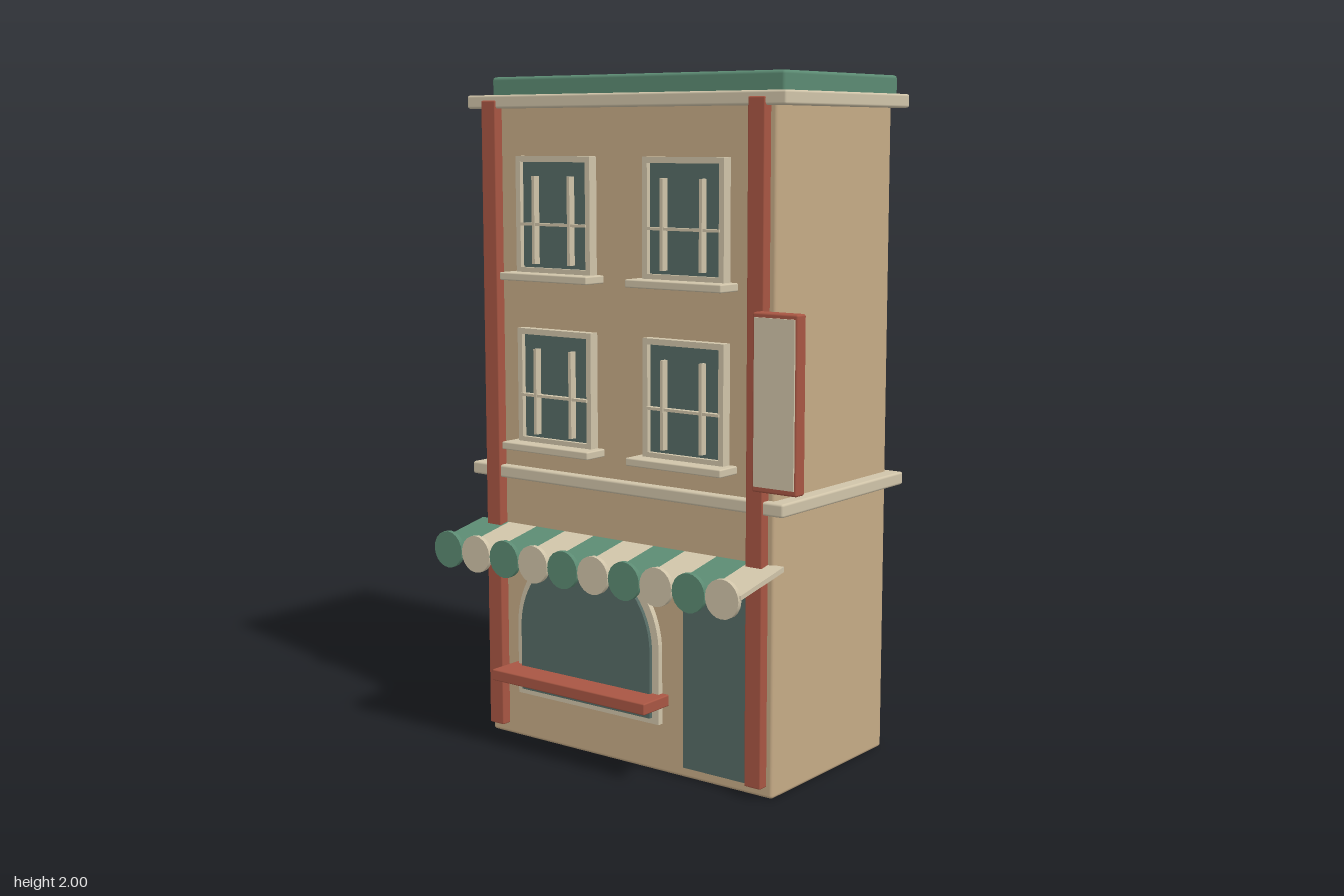
import * as THREE from 'three';
import { RoundedBoxGeometry } from 'three/addons/geometries/RoundedBoxGeometry.js';

const mat = (name, color) => {
  const m = new THREE.MeshStandardMaterial({ color });
  m.name = name;
  return m;
};

export function createModel() {
  const wall = mat('tan wall', 0xc6ab86);
  const cream = mat('cream trim', 0xd0c4a9);
  const green = mat('green', 0x5c8b73);
  const red = mat('brick red', 0xa85643);
  const glass = mat('dark glass', 0x566b65);

  const model = new THREE.Group();
  model.name = 'townhouse';

  const add = (name, geometry, material, parent = model) => {
    const mesh = new THREE.Mesh(geometry, material);
    mesh.name = name;
    parent.add(mesh);
    return mesh;
  };
  // Box from its minimum and maximum corners, with an optional rounded edge
  const box = (name, material, [x0, y0, z0], [x1, y1, z1], r = 0, parent = model) => {
    const s = [x1 - x0, y1 - y0, z1 - z0];
    const g = r ? new RoundedBoxGeometry(...s, 2, r) : new THREE.BoxGeometry(...s);
    const mesh = add(name, g, material, parent);
    mesh.position.set((x0 + x1) / 2, (y0 + y1) / 2, (z0 + z1) / 2);
    return mesh;
  };
  const extrude = (shape, depth) =>
    new THREE.ExtrudeGeometry(shape, { depth, bevelEnabled: false, curveSegments: 20 });
  const rect = (Type, w, h) => {
    const p = new Type();
    p.moveTo(-w / 2, -h / 2);
    p.lineTo(w / 2, -h / 2);
    p.lineTo(w / 2, h / 2);
    p.lineTo(-w / 2, h / 2);
    p.closePath();
    return p;
  };
  const arch = (Type, r, bottom, spring) => {
    const p = new Type();
    p.moveTo(-r, bottom);
    p.lineTo(r, bottom);
    p.lineTo(r, spring);
    p.absarc(0, spring, r, 0, Math.PI, false);
    p.closePath();
    return p;
  };

  // Body, floor band, cornice and roof
  box('body', wall, [-0.56, 0, -0.38], [0.49, 1.92, 0.205], 0.01);
  box('floorBand', cream, [-0.605, 0.808, -0.405], [0.535, 0.846, 0.231], 0.007);
  box('cornice', cream, [-0.605, 1.907, -0.405], [0.535, 1.946, 0.231], 0.007);
  box('roof', green, [-0.56, 1.935, -0.413], [0.49, 2, 0.17], 0.01);

  // Corner pilasters
  for (const x of [-0.545, 0.415]) {
    box('pilaster', red, [x, 0.033, 0.19], [x + 0.055, 1.93, 0.235], 0.004);
  }

  // Upper windows: frame, pane, glazing bars and sill
  for (const x of [-0.27, 0.2]) {
    for (const y of [1.6, 1.097]) {
      const win = new THREE.Group();
      win.name = 'window';
      win.position.set(x, y, 0.2);
      model.add(win);
      const frame = rect(THREE.Shape, 0.28, 0.34);
      frame.holes.push(rect(THREE.Path, 0.246, 0.306));
      add('windowFrame', extrude(frame, 0.036), cream, win);
      box('windowPane', glass, [-0.125, -0.155, 0], [0.125, 0.155, 0.022], 0, win);
      for (const bx of [-0.067, 0.067]) {
        box('verticalBar', cream, [bx - 0.005, -0.142, 0.02], [bx + 0.005, 0.112, 0.044], 0, win);
      }
      box('horizontalBar', cream, [-0.127, -0.031, 0.02], [0.127, -0.023, 0.041], 0, win);
      box('windowSill', cream, [-0.165, -0.19, 0], [0.165, -0.167, 0.084], 0.004, win);
    }
  }

  // Arched shop window with ledge
  const surround = arch(THREE.Shape, 0.27, 0.145, 0.36);
  surround.holes.push(arch(THREE.Path, 0.243, 0.167, 0.36));
  add('shopWindowFrame', extrude(surround, 0.022), cream).position.set(-0.165, 0, 0.2);
  add('shopWindowPane', extrude(arch(THREE.Shape, 0.246, 0.163, 0.36), 0.034), glass)
    .position.set(-0.165, 0, 0.2);
  box('shopLedge', red, [-0.455, 0.202, 0.2], [0.128, 0.236, 0.32], 0.004);

  // Door
  box('door', glass, [0.185, 0.032, 0.195], [0.425, 0.64, 0.212]);

  // Striped awning with a scalloped edge of discs
  const awning = new THREE.Group();
  awning.name = 'awning';
  model.add(awning);
  const profile = new THREE.Shape([
    new THREE.Vector2(0.2, 0.653), new THREE.Vector2(0.405, 0.614),
    new THREE.Vector2(0.405, 0.627), new THREE.Vector2(0.2, 0.668),
  ]);
  const step = 0.1115;
  const stripe = extrude(profile, step);
  stripe.rotateY(-Math.PI / 2); // profile x becomes z, depth runs towards -x
  const disc = new THREE.CylinderGeometry(0.055, 0.055, 0.014, 20);
  disc.rotateX(Math.PI / 2);
  for (let i = 0; i < 10; i++) {
    const colour = i % 2 ? cream : green;
    const x = -0.595 + step * i;
    add('awningStripe', stripe, colour, awning).position.x = x + step;
    add('awningScallop', disc, colour, awning).position.set(x + step / 2, 0.611, 0.406);
  }

  // Hanging sign
  box('signBoard', red, [0.46, 0.88, 0.231], [0.605, 1.365, 0.272], 0.006);
  box('signPanel', cream, [0.469, 0.896, 0.268], [0.598, 1.352, 0.277]);

  return model;
}
